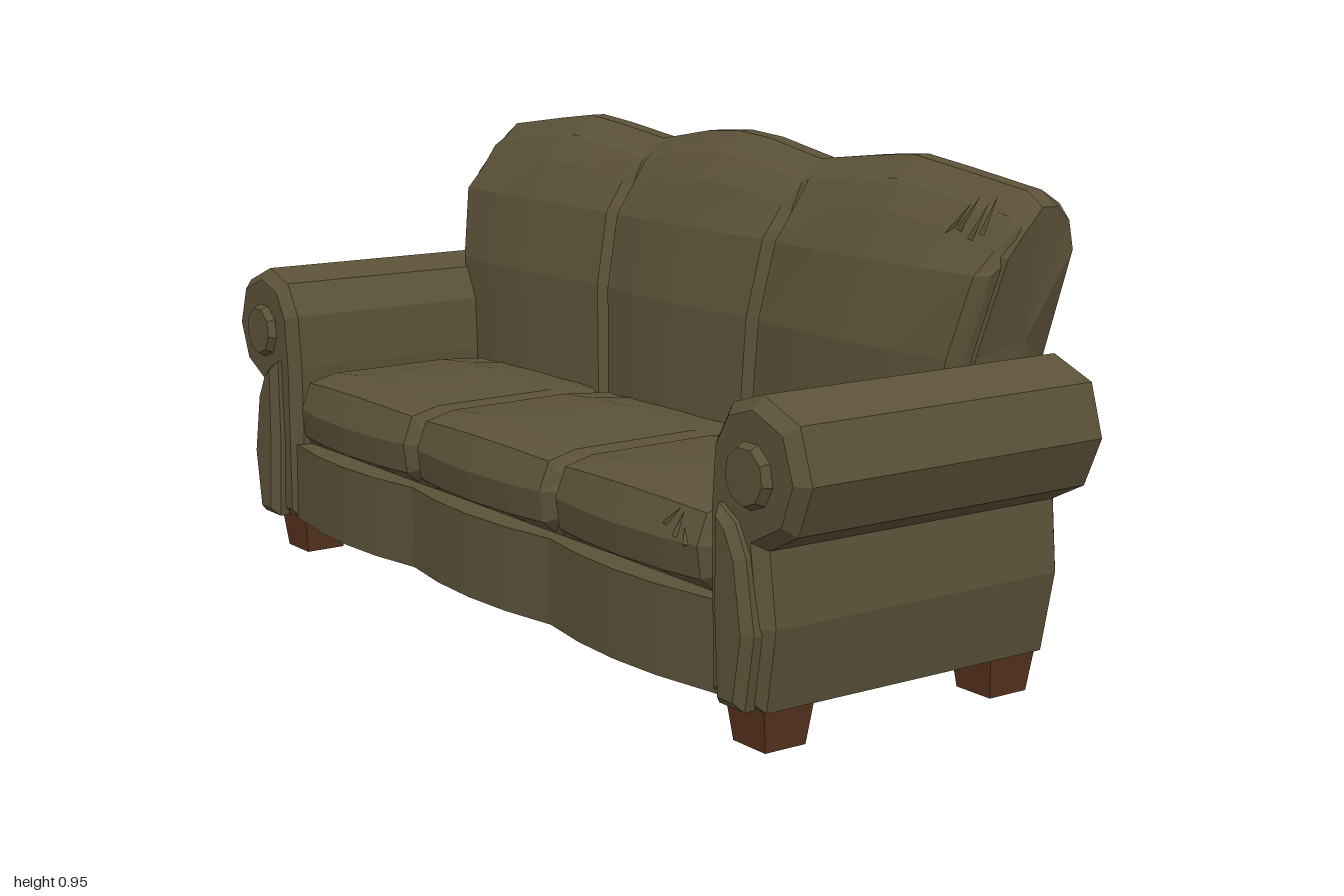
import * as THREE from 'three';

const fabric = new THREE.MeshStandardMaterial({ color: 0x5b5138 });
fabric.name = 'olive fabric';
const wood = new THREE.MeshStandardMaterial({ color: 0x59331f });
wood.name = 'brown wood';

// Faceted normals for the low-poly look
function facet(geometry) {
  const g = geometry.index ? geometry.toNonIndexed() : geometry;
  g.computeVertexNormals();
  return g;
}

function addMesh(parent, name, geometry, material) {
  const mesh = new THREE.Mesh(facet(geometry), material);
  mesh.name = name;
  parent.add(mesh);
  return mesh;
}

// Joins closed rings of [x, y, z] that follow each other along +x and caps both ends
function loft(rings) {
  const pos = [];
  const tri = (a, b, c) => pos.push(...a, ...b, ...c);
  const n = rings[0].length;
  for (let i = 0; i < rings.length - 1; i++) {
    for (let j = 0; j < n; j++) {
      const k = (j + 1) % n;
      const a = rings[i][j], b = rings[i][k], c = rings[i + 1][j], d = rings[i + 1][k];
      tri(a, b, c);
      tri(b, d, c);
    }
  }
  const first = rings[0], last = rings[rings.length - 1];
  const centre = (r) => [0, 1, 2].map((q) => r.reduce((s, p) => s + p[q], 0) / n);
  const c0 = centre(first), c1 = centre(last);
  for (let j = 0; j < n; j++) {
    const k = (j + 1) % n;
    tri(c0, first[k], first[j]);
    tri(c1, last[j], last[k]);
  }
  const g = new THREE.BufferGeometry();
  g.setAttribute('position', new THREE.Float32BufferAttribute(pos, 3));
  return g;
}

// Extrudes an outline along z with a chamfer that stays inside it
function plate(points, z0, z1, bevel) {
  const shape = new THREE.Shape(points.map(([x, y]) => new THREE.Vector2(x, y)));
  const g = new THREE.ExtrudeGeometry(shape, {
    depth: z1 - z0 - 2 * bevel, bevelEnabled: true, bevelThickness: bevel,
    bevelSize: bevel, bevelOffset: -bevel, bevelSegments: 1,
  });
  return g.translate(0, 0, z0 + bevel);
}

// Piecewise linear lookup in [key, value] pairs
function lookup(table, v) {
  if (v <= table[0][0]) return table[0][1];
  for (let i = 1; i < table.length; i++) {
    const [a, fa] = table[i - 1], [b, fb] = table[i];
    if (v <= b) return fa + ((fb - fa) * (v - a)) / (b - a);
  }
  return table[table.length - 1][1];
}

// Camel-back crest height and the flare of the back above the arms
const crest = (x) => lookup([[0, 0.955], [0.1, 0.948], [0.26, 0.92], [0.42, 0.94],
  [0.53, 0.95], [0.65, 0.935], [0.83, 0.91], [0.87, 0.885]], Math.abs(x));
const flare = (y) => lookup([[0.5, 0.905], [0.62, 0.955], [0.8, 1]], y);

// Bays of the three cushions
const bays = [[-0.735, -0.253], [-0.247, 0.247], [0.253, 0.735]];

function buildBase(group) {
  // Scalloped front rail and seat box, drawn in plan
  const shape = new THREE.Shape();
  shape.moveTo(-0.76, 0.315);
  shape.lineTo(-0.76, -0.345);
  for (const [a, b] of bays) {
    for (const t of [-1, -0.5, 0, 0.5, 1]) {
      shape.lineTo((a + b) / 2 + (t * (b - a)) / 2, -(0.348 + 0.026 * (1 - t * t)));
    }
  }
  shape.lineTo(0.76, -0.345);
  shape.lineTo(0.76, 0.315);
  const g = new THREE.ExtrudeGeometry(shape, { depth: 0.165, bevelEnabled: false });
  g.rotateX(-Math.PI / 2).translate(0, 0.085, 0);
  addMesh(group, 'seatBase', g, fabric);
}

function buildSeatCushions(group) {
  for (const [a, b] of bays) {
    const rings = [-1, -0.9, -0.5, 0, 0.5, 0.9, 1].map((t) => {
      const x = (a + b) / 2 + (t * (b - a)) / 2;
      const s = 1 - t * t;
      const e = Math.abs(t) === 1 ? 1 : 0;
      return [
        [-0.22, 0.25], [-0.22, 0.39 - 0.02 * e], [0, 0.405 + 0.015 * s - 0.025 * e],
        [0.27, 0.402 + 0.018 * s - 0.025 * e], [0.328 + 0.02 * s - 0.015 * e, 0.388 + 0.012 * s - 0.03 * e],
        [0.348 + 0.027 * s - 0.018 * e, 0.335], [0.34 + 0.025 * s - 0.015 * e, 0.275 + 0.01 * e],
        [0.315, 0.25],
      ].map(([z, y]) => [x, y, z]);
    });
    addMesh(group, 'seatCushion', loft(rings), fabric);
  }
}

function buildBack(group) {
  // Frame with flat rear panel and rolled crest
  const xs = [0, 0.1, 0.26, 0.42, 0.53, 0.65, 0.83, 0.87];
  const all = [...xs.slice(1).reverse().map((x) => -x), ...xs];
  const rings = all.map((x) => {
    const top = crest(x);
    const e = Math.abs(x) > 0.85 ? 1 : 0;
    return [
      [-0.325 + 0.012 * e, 0.082], [-0.348 + 0.015 * e, 0.6], [-0.386 + 0.03 * e, top - 0.08],
      [-0.36 + 0.015 * e, top - 0.027], [-0.315, top], [-0.28, top], [-0.235 - 0.005 * e, top - 0.04],
      [-0.2, 0.8], [-0.165, 0.62], [-0.165, 0.082],
    ].map(([z, y]) => [x * flare(y), y, z]);
  });
  addMesh(group, 'backFrame', loft(rings), fabric);

  // Three padded panels divided by seams
  for (const [a, b] of [[-0.86, -0.268], [-0.262, 0.262], [0.268, 0.86]]) {
    const padRings = [-1, -0.94, -0.5, 0, 0.5, 0.94, 1].map((t) => {
      const x = (a + b) / 2 + (t * (b - a)) / 2;
      const top = crest(x);
      const s = 1 - t * t;
      const e = Math.abs(t) === 1 ? 0.025 : 0;
      return [
        [-0.2, 0.38], [-0.2, 0.62], [-0.24, 0.8], [-0.268, top - 0.016], [-0.228 - e * 0.4, top - 0.04],
        [-0.195 + 0.01 * s - e, top - 0.09], [-0.152 + 0.012 * s - e, 0.77],
        [-0.122 + 0.022 * s - e, 0.62], [-0.115 + 0.025 * s - e, 0.38],
      ].map(([z, y]) => [x * flare(y), y, z]);
    });
    addMesh(group, 'backPad', loft(padRings), fabric);
  }
}

function buildArm(side) {
  const arm = new THREE.Group();
  arm.name = side > 0 ? 'leftArm' : 'rightArm';
  const flip = (pts) => pts.map(([x, y]) => [x * side, y]);

  // Rolled arm and side panel in one outline
  const body = plate(flip([
    [0.74, 0.08], [0.88, 0.08], [0.905, 0.23], [0.888, 0.362], [0.962, 0.4], [0.998, 0.49],
    [0.965, 0.585], [0.87, 0.622], [0.79, 0.597], [0.748, 0.53], [0.738, 0.42],
  ]), -0.34, 0.36, 0.022);
  const p = body.attributes.position;
  for (let i = 0; i < p.count; i++) {
    const z = p.getZ(i), drop = 0.6 - p.getY(i);
    if (z < 0) p.setZ(i, z + 0.04 * drop);
    else p.setZ(i, z - 0.01 * drop);
  }
  addMesh(arm, 'armBody', body, fabric);

  // Upholstered front post and scroll button
  addMesh(arm, 'frontPost', plate(flip([
    [0.795, 0.084], [0.865, 0.084], [0.888, 0.22], [0.865, 0.35], [0.835, 0.405],
    [0.79, 0.43], [0.785, 0.25],
  ]), 0.33, 0.383, 0.016), fabric);
  const button = new THREE.CylinderGeometry(0.05, 0.066, 0.03, 9);
  button.rotateX(Math.PI / 2).translate(0.865 * side, 0.488, 0.36);
  addMesh(arm, 'scrollButton', button, fabric);
  return arm;
}

function buildLegs(group) {
  for (const x of [-0.812, 0.812]) {
    for (const z of [0.272, -0.243]) {
      const g = new THREE.CylinderGeometry(0.077, 0.062, 0.085, 4, 1);
      g.rotateY(Math.PI / 4).translate(x, 0.0425, z);
      addMesh(group, z > 0 ? 'frontLeg' : 'backLeg', g, wood);
    }
  }
}

// Small ragged slits with lifted cloth edges
function buildTears(group) {
  const slit = (x, y, z, length, turn, tilt) => {
    const mesh = addMesh(group, 'tornCloth', new THREE.ConeGeometry(0.006, length, 3), fabric);
    mesh.position.set(x, y, z);
    mesh.rotation.set(tilt, 0, turn);
  };
  for (let i = 0; i < 4; i++) {
    slit(0.745 + 0.025 * i, 0.86 + 0.012 * (i % 2), -0.2, 0.075, -0.6 + 0.12 * i, -0.3);
  }
  for (let i = 0; i < 3; i++) slit(0.64 + 0.018 * i, 0.375 - 0.012 * i, 0.352, 0.045, -0.7 + 0.6 * i, -0.4);
}

export function createModel() {
  const sofa = new THREE.Group();
  sofa.name = 'sofa';
  buildBase(sofa);
  buildSeatCushions(sofa);
  buildBack(sofa);
  sofa.add(buildArm(1), buildArm(-1));
  buildLegs(sofa);
  buildTears(sofa);
  return sofa;
}
